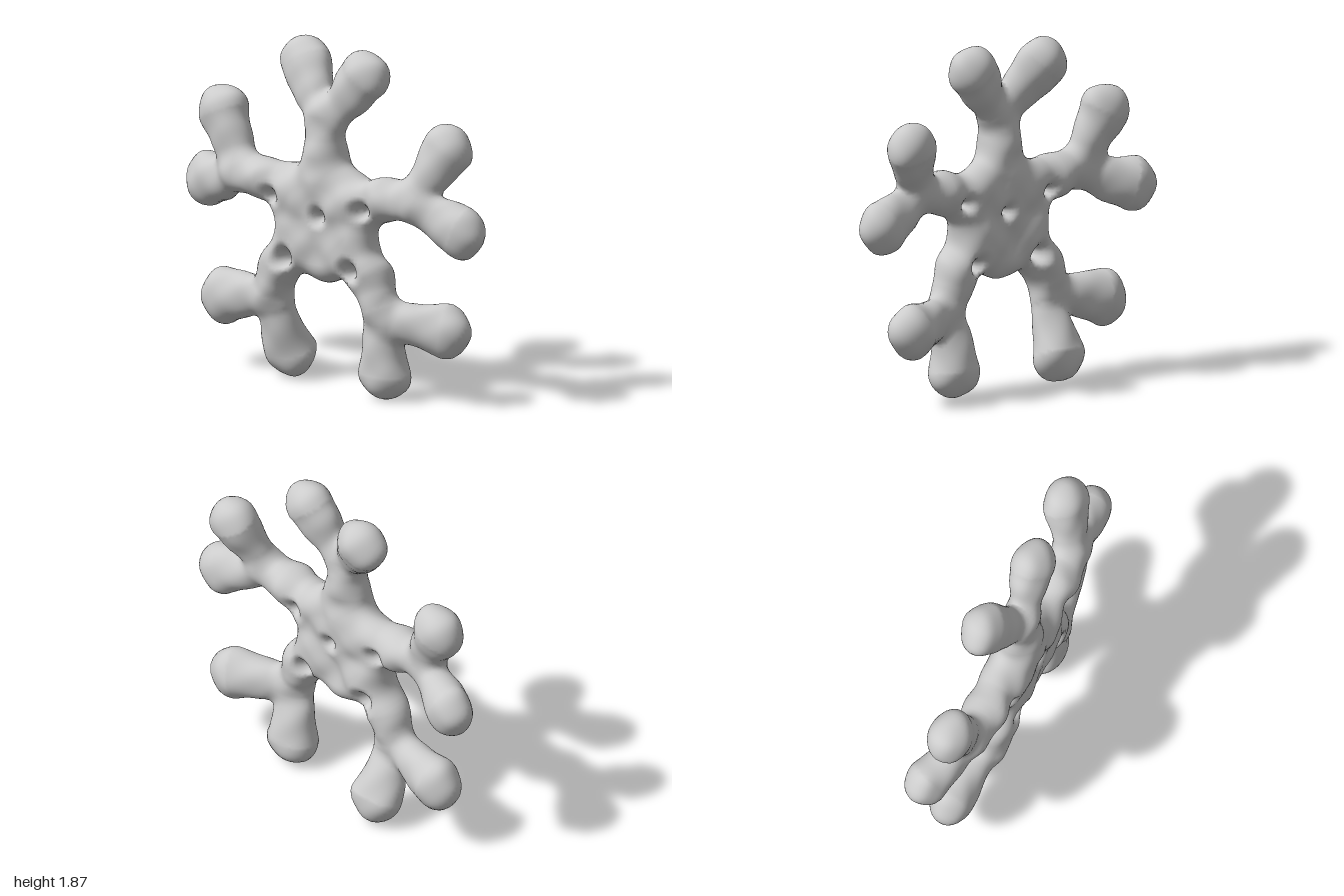
import * as THREE from 'three';

// Each arm: stem path points [x, y], then two lobe tips [x, y, z, radius] with their neck points
const ARMS = [
  { name: 'topArm', stem: [[0, 1.0], [-0.01, 1.3], [0, 1.5]],
    lobes: [[-0.05, 1.52, -0.215, 1.735, -0.05, 0.148], [0.05, 1.52, 0.215, 1.735, 0.01, 0.146]] },
  { name: 'upperLeftArm', stem: [[0.15, 1.07], [0.4, 1.11], [0.57, 1.12]],
    lobes: [[0.61, 1.16, 0.72, 1.405, -0.055, 0.145], [0.62, 1.1, 0.86, 1.0, 0.01, 0.145]] },
  { name: 'lowerLeftArm', stem: [[0.15, 0.83], [0.29, 0.68], [0.36, 0.52]],
    lobes: [[0.43, 0.46, 0.71, 0.42, -0.055, 0.145], [0.36, 0.44, 0.355, 0.155, 0.01, 0.15]] },
  { name: 'lowerRightArm', stem: [[-0.15, 0.83], [-0.3, 0.65], [-0.37, 0.49]],
    lobes: [[-0.35, 0.41, -0.335, 0.16, -0.055, 0.15], [-0.42, 0.46, -0.7, 0.405, 0.01, 0.152]] },
  { name: 'upperRightArm', stem: [[-0.15, 1.07], [-0.4, 1.1], [-0.57, 1.11]],
    lobes: [[-0.61, 1.08, -0.86, 1.0, -0.05, 0.147], [-0.6, 1.15, -0.72, 1.4, 0.01, 0.15]] },
];
const HOLES = [[-0.31, 1.03, 0.022], [0.3, 1.04, 0.024], [0.02, 0.97, 0.012], [-0.22, 0.71, 0.03], [0.22, 0.7, 0.026]];
const MID_Z = 0.055;

const smin = (a, b, k) => Math.min(a, b) - (Math.max(k - Math.abs(a - b), 0) ** 2) / (4 * k);

// Distance to a tapered capsule, flattened in z
function capsule(x, y, z, a, b, ra, rb, flat) {
  const dx = b[0] - a[0], dy = b[1] - a[1], dz = b[2] - a[2];
  const px = x - a[0], py = y - a[1], pz = z - a[2];
  const t = Math.min(1, Math.max(0, (px * dx + py * dy + pz * dz) / (dx * dx + dy * dy + dz * dz)));
  return Math.hypot(px - dx * t, py - dy * t, (pz - dz * t) * flat) - ra - (rb - ra) * t;
}

// Flat central hub
function coreField(x, y, z) {
  const r = Math.max(Math.hypot(x, y - 0.93) - 0.22, 0);
  return Math.hypot(r, z - MID_Z) - 0.105;
}

// Stem with two splayed lobes
function armField(arm, x, y, z) {
  const [a, b, c] = arm.stem.map(([px, py]) => [px, py, MID_Z]);
  let d = smin(capsule(x, y, z, a, b, 0.1, 0.115, 1), capsule(x, y, z, b, c, 0.115, 0.1, 1), 0.03);
  for (const [nx, ny, tx, ty, tz, r] of arm.lobes) {
    d = smin(d, capsule(x, y, z, [nx, ny, 0.045], [tx, ty, tz], 0.095, r, 1.25), 0.06);
  }
  return d;
}

function field(x, y, z) {
  let d = coreField(x, y, z);
  for (const arm of ARMS) d = smin(d, armField(arm, x, y, z), 0.09);
  // Hourglass holes through the hub
  for (const [hx, hy, r] of HOLES) {
    const dz = z - MID_Z;
    d = -smin(-d, Math.hypot(x - hx, y - hy) - r - 3 * dz * dz, 0.03);
  }
  // Gentle lumps
  return d + 0.009 * Math.sin(17 * x + 2) * Math.sin(16 * y + 1) * Math.cos(14 * z)
    + 0.005 * Math.sin(29 * x + 9 * z) * Math.cos(27 * y - 11 * z);
}

function gradient(x, y, z) {
  const e = 0.006;
  return new THREE.Vector3(
    field(x + e, y, z) - field(x - e, y, z),
    field(x, y + e, z) - field(x, y - e, z),
    field(x, y, z + e) - field(x, y, z - e)).normalize();
}

export function createModel() {
  const group = new THREE.Group();
  const material = new THREE.MeshStandardMaterial({ color: 0xcccccc });
  const h = 0.02, origin = [-1.08, -0.08, -0.25], n = [109, 103, 26];
  const step = [1, n[0], n[0] * n[1]];
  const at = (i, j, k) => i + j * step[1] + k * step[2];

  // Sample the field on a grid
  const values = new Float32Array(n[0] * n[1] * n[2]);
  for (let k = 0; k < n[2]; k++) for (let j = 0; j < n[1]; j++) for (let i = 0; i < n[0]; i++) {
    values[at(i, j, k)] = field(origin[0] + i * h, origin[1] + j * h, origin[2] + k * h);
  }

  // One vertex per cell that the surface crosses, at the mean of its edge crossings
  const cellVertex = new Map(), points = [], normals = [];
  for (let k = 0; k < n[2] - 1; k++) for (let j = 0; j < n[1] - 1; j++) for (let i = 0; i < n[0] - 1; i++) {
    const sum = [0, 0, 0];
    let count = 0;
    for (let c = 0; c < 8; c++) for (let axis = 0; axis < 3; axis++) {
      if (c >> axis & 1) continue;
      const o = [c & 1, c >> 1 & 1, c >> 2 & 1];
      const p = at(i + o[0], j + o[1], k + o[2]);
      const v0 = values[p], v1 = values[p + step[axis]];
      if (v0 < 0 === v1 < 0) continue;
      o[axis] += v0 / (v0 - v1);
      for (let m = 0; m < 3; m++) sum[m] += o[m];
      count++;
    }
    if (!count) continue;
    const p = new THREE.Vector3(i + sum[0] / count, j + sum[1] / count, k + sum[2] / count)
      .multiplyScalar(h).add(new THREE.Vector3(...origin));
    cellVertex.set(at(i, j, k), points.length);
    points.push(p);
    normals.push(gradient(p.x, p.y, p.z));
  }

  // Join the cells around each crossed edge, sorting faces into hub and arms
  const parts = [{ name: 'hub', dist: coreField },
    ...ARMS.map((arm) => ({ name: arm.name, dist: (x, y, z) => armField(arm, x, y, z) }))];
  for (const part of parts) part.faces = [];
  const ab = new THREE.Vector3(), ac = new THREE.Vector3();
  for (let k = 1; k < n[2] - 1; k++) for (let j = 1; j < n[1] - 1; j++) for (let i = 1; i < n[0] - 1; i++) {
    const p = at(i, j, k);
    for (let axis = 0; axis < 3; axis++) {
      if (values[p] < 0 === values[p + step[axis]] < 0) continue;
      const u = step[(axis + 1) % 3], v = step[(axis + 2) % 3];
      const q = [p, p - u, p - u - v, p - v].map((c) => cellVertex.get(c));
      if (q.includes(undefined)) continue;
      const a = points[q[0]];
      ab.subVectors(points[q[2]], a);
      ac.subVectors(points[q[3]], points[q[1]]);
      if (ab.cross(ac).dot(normals[q[0]]) < 0) q.reverse();
      let best = parts[0], bestDist = Infinity;
      for (const part of parts) {
        const d = part.dist(a.x, a.y, a.z);
        if (d < bestDist) { bestDist = d; best = part; }
      }
      best.faces.push(q[0], q[1], q[2], q[0], q[2], q[3]);
    }
  }

  // One mesh per part, sharing smooth normals across the seams
  for (const part of parts) {
    const geometry = new THREE.BufferGeometry();
    const used = new Map(), pos = [], nor = [];
    geometry.setIndex(part.faces.map((id) => {
      if (!used.has(id)) {
        used.set(id, used.size);
        pos.push(...points[id].toArray());
        nor.push(...normals[id].toArray());
      }
      return used.get(id);
    }));
    geometry.setAttribute('position', new THREE.Float32BufferAttribute(pos, 3));
    geometry.setAttribute('normal', new THREE.Float32BufferAttribute(nor, 3));
    const mesh = new THREE.Mesh(geometry, material);
    mesh.name = part.name;
    group.add(mesh);
  }
  return group;
}
